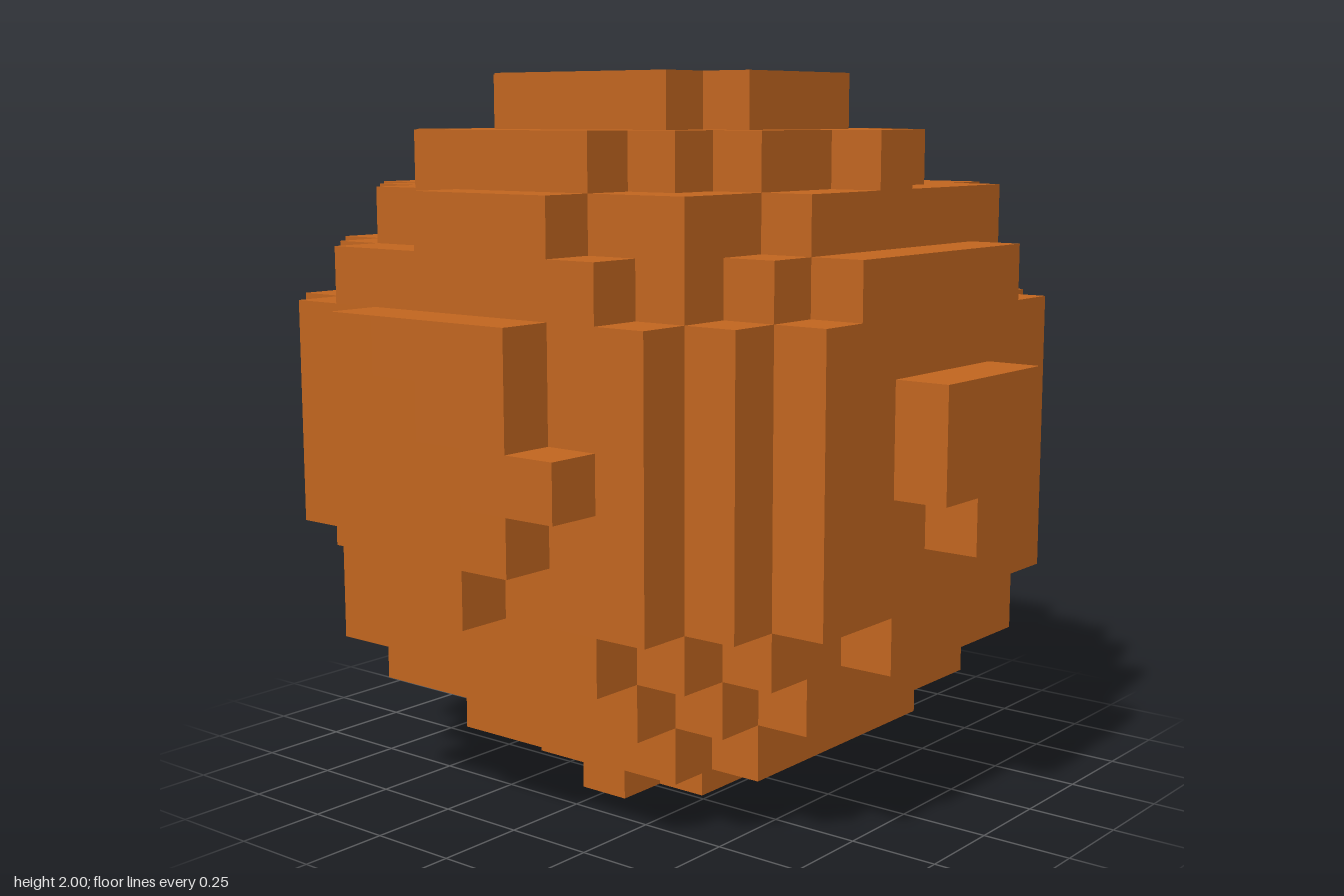
import * as THREE from 'three';

// Blocky ball: 13 cells across, filled where a slightly off-centre sphere covers the cell centre
const HALF = 6;
const CELL = 2 / 13;
const CENTRE = [-0.35, 0.165, -0.03];
const RADIUS_SQ = 42.54;

const filled = (p) =>
  p.every((v) => Math.abs(v) <= HALF) &&
  p.reduce((sum, v, i) => sum + (v - CENTRE[i]) ** 2, 0) <= RADIUS_SQ;

// Outer skin: one square for each cell side that has no neighbour
function blockSkin() {
  const positions = [], normals = [], indices = [];

  const addSide = (cell, axis, sign) => {
    const u = (axis + 1) % 3, v = (axis + 2) % 3;
    const first = positions.length / 3;
    for (const [a, b] of [[-1, -1], [1, -1], [1, 1], [-1, 1]]) {
      const corner = [...cell];
      corner[axis] += sign / 2;
      corner[u] += (a * sign) / 2;
      corner[v] += b / 2;
      positions.push(corner[0] * CELL, corner[1] * CELL + 1, corner[2] * CELL);
      const normal = [0, 0, 0];
      normal[axis] = sign;
      normals.push(...normal);
    }
    indices.push(first, first + 1, first + 2, first, first + 2, first + 3);
  };

  for (let x = -HALF; x <= HALF; x++)
    for (let y = -HALF; y <= HALF; y++)
      for (let z = -HALF; z <= HALF; z++) {
        const cell = [x, y, z];
        if (!filled(cell)) continue;
        for (let axis = 0; axis < 3; axis++)
          for (const sign of [-1, 1]) {
            const next = [...cell];
            next[axis] += sign;
            if (!filled(next)) addSide(cell, axis, sign);
          }
      }

  const geometry = new THREE.BufferGeometry();
  geometry.setAttribute('position', new THREE.Float32BufferAttribute(positions, 3));
  geometry.setAttribute('normal', new THREE.Float32BufferAttribute(normals, 3));
  geometry.setIndex(indices);
  return geometry;
}

export function createModel() {
  const orangeBrown = new THREE.MeshStandardMaterial({ color: 0xc1651f });
  orangeBrown.name = 'orangeBrown';

  const ball = new THREE.Mesh(blockSkin(), orangeBrown);
  ball.name = 'blockBall';

  const model = new THREE.Group();
  model.name = 'blockySphere';
  model.add(ball);
  return model;
}
